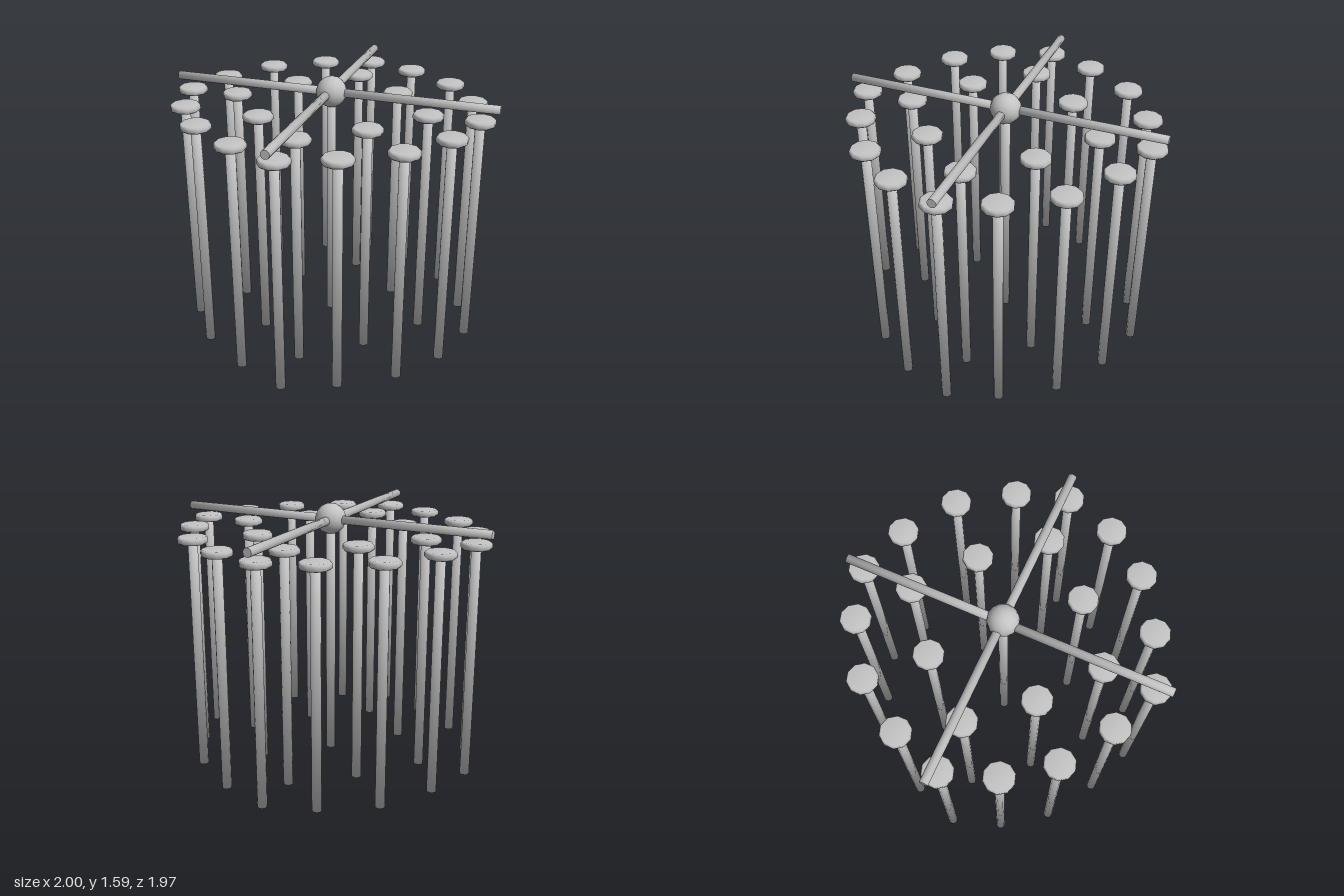
import * as THREE from 'three';

const grey = new THREE.MeshStandardMaterial({ color: 0xc4c4c4 });
grey.name = 'grey';

// Capped rod whose side normals lean outward at both ends, for soft end shading
function rodGeometry(radius, length, sides) {
  const g = new THREE.CylinderGeometry(radius, radius, length, sides, 1);
  const n = g.attributes.normal, p = g.attributes.position;
  const v = new THREE.Vector3();
  for (let i = 0; i < n.count; i++) {
    if (Math.abs(n.getY(i)) > 0.5) continue;
    v.set(n.getX(i), Math.sign(p.getY(i)) * 0.8, n.getZ(i)).normalize();
    n.setXYZ(i, v.x, v.y, v.z);
  }
  return g;
}

export function createModel() {
  const model = new THREE.Group();
  const add = (name, geometry, x, y, z) => {
    const mesh = new THREE.Mesh(geometry, grey);
    mesh.name = name;
    mesh.position.set(x, y, z);
    model.add(mesh);
    return mesh;
  };

  // Posts with flat, softly edged round heads
  const postGeo = rodGeometry(0.029, 1.415, 12);
  const headGeo = new THREE.LatheGeometry([
    [0, 1.407], [0.08, 1.407], [0.09, 1.416], [0.09, 1.437], [0.08, 1.448], [0, 1.45],
  ].map(([x, y]) => new THREE.Vector2(x, y)), 10);
  const post = (x, z) => {
    add('post', postGeo, x, 0.7125, z);
    add('postHead', headGeo, x, 0, z);
  };

  // Posts under the arms
  for (const z of [-0.895, -0.595, 0.58, 0.885]) post(-0.003, z);
  for (const x of [-0.9, -0.6, 0.595, 0.895]) post(x, 0);

  // Mirrored posts between the arms
  for (const [x, z] of [
    [0.3, -0.795], [0.3, 0.765], [0.6, -0.597], [0.6, 0.57],
    [0.797, -0.297], [0.797, 0.308], [0.327, -0.33], [0.327, 0.322],
  ]) {
    post(x, z);
    post(-x, z);
  }

  // Centre post and hub ball
  add('centrePost', rodGeometry(0.029, 1.45, 12), 0, 0.725, -0.025);
  const hub = add('hub', new THREE.SphereGeometry(0.093, 12, 10), 0, 1.502, -0.025);
  hub.rotation.x = -0.3;

  // Four arms meeting inside the hub
  const sideArm = rodGeometry(0.026, 0.98, 16).rotateZ(-Math.PI / 2);
  const longArm = rodGeometry(0.026, 0.95, 16).rotateX(Math.PI / 2);
  add('leftArm', sideArm, 0.51, 1.5, -0.027);
  add('rightArm', sideArm, -0.51, 1.5, -0.027);
  add('frontArm', longArm, -0.01, 1.5, 0.507);
  add('backArm', longArm, -0.01, 1.5, -0.507);

  return model;
}
